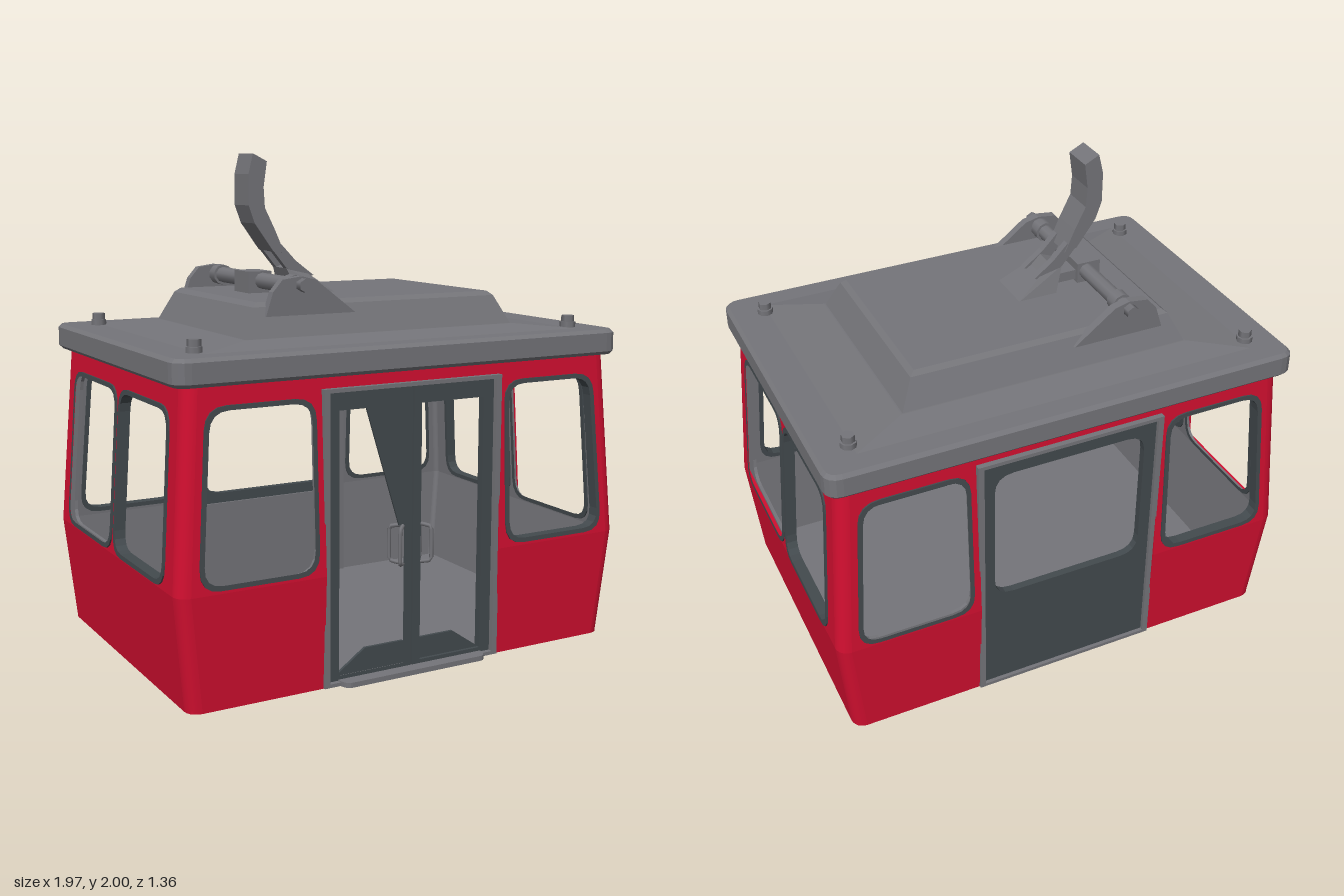
import * as THREE from 'three';

const mat = (name, color) => Object.assign(new THREE.MeshStandardMaterial({ color }), { name });

export function createModel() {
  const red = mat('red paint', 0xd20f30);
  const grey = mat('grey metal', 0x75757a);
  const slate = mat('dark slate', 0x434a4e);
  grey.side = THREE.DoubleSide;

  const model = new THREE.Group();
  model.name = 'cableCarCabin';
  const cabin = new THREE.Group();
  cabin.name = 'cabin';
  cabin.position.z = -0.008;
  model.add(cabin);

  const add = (parent, name, geo, material, x = 0, y = 0, z = 0) => {
    const m = new THREE.Mesh(geo, material);
    m.name = name;
    m.position.set(x, y, z);
    parent.add(m);
    return m;
  };
  const box = (w, h, d) => new THREE.BoxGeometry(w, h, d);
  const shapeOf = (pts) => new THREE.Shape(pts.map(([x, y]) => new THREE.Vector2(x, y)));
  const extrude = (shape, depth, z0 = 0) =>
    new THREE.ExtrudeGeometry(shape, { depth, bevelEnabled: false, curveSegments: 4 }).translate(0, 0, z0);

  // Four-cornered outline with rounded corners
  const rounded = (pts, r) => {
    const v = pts.map(([x, y]) => new THREE.Vector2(x, y));
    const s = new THREE.Shape();
    v.forEach((p, i) => {
      const a = v[(i + 3) % 4].clone().sub(p).setLength(r).add(p);
      const b = v[(i + 1) % 4].clone().sub(p).setLength(r).add(p);
      if (i) s.lineTo(a.x, a.y); else s.moveTo(a.x, a.y);
      s.quadraticCurveTo(p.x, p.y, b.x, b.y);
    });
    s.closePath();
    return s;
  };

  // Half sizes of the cabin at each height: walls bulge at the waist
  const Y0 = 0.02, WAIST = 0.46, Y1 = 1.205, R = 0.05;
  const profile = (a, b, c) => (y) => (y < WAIST
    ? THREE.MathUtils.mapLinear(y, Y0, WAIST, a, b)
    : THREE.MathUtils.mapLinear(y, WAIST, Y1, b, c));
  const halfX = profile(0.932, 0.977, 0.925);
  const halfZ = profile(0.643, 0.664, 0.63);

  // Push a flat piece out to the leaning wall, then turn it to its side
  const lean = (geo, half, turn) => {
    const p = geo.attributes.position;
    for (let i = 0; i < p.count; i++) p.setZ(i, p.getZ(i) + half(p.getY(i)));
    geo.computeVertexNormals();
    return geo.rotateY(turn);
  };
  const panel = (name, shape, half, turn) => {
    add(cabin, name, lean(extrude(shape, 0.018, -0.018), half, turn), red);
    add(cabin, name + 'Lining', lean(extrude(shape, 0.014, -0.032), half, turn), grey);
  };
  // Window outline between inner edge a and outer edges b (bottom) and t (top)
  const windowPts = (s, a, b, t, y0, y1, g) =>
    [[s * (a - g), y0 - g], [s * (b + g), y0 - g], [s * (t + g), y1 + g], [s * (a - g), y1 + g]];
  const bay = (name, s, inner, half, across, turn, win) => {
    const edge = (y) => across(y) - R;
    panel(name + 'LowerPanel', shapeOf([[s * inner, Y0], [s * edge(Y0), Y0], [s * edge(WAIST), WAIST], [s * inner, WAIST]]), half, turn);
    const upper = shapeOf([[s * inner, WAIST], [s * edge(WAIST), WAIST], [s * edge(Y1), Y1], [s * inner, Y1]]);
    upper.holes.push(rounded(windowPts(s, ...win, 0.014), 0.085));
    panel(name + 'UpperPanel', upper, half, turn);
    const trim = rounded(windowPts(s, ...win, 0.018), 0.085);
    trim.holes.push(rounded(windowPts(s, ...win, 0), 0.075));
    add(cabin, name + 'WindowTrim', lean(extrude(trim, 0.044, -0.038), half, turn), slate);
  };

  for (const s of [1, -1]) {
    for (const [side, turn] of [['front', 0], ['back', Math.PI]])
      bay(side, s, 0.388, halfZ, halfX, turn, [0.435, 0.88, 0.835, 0.49, 1.11]);
    for (const [side, turn] of [['left', Math.PI / 2], ['right', -Math.PI / 2]])
      bay(side, s, 0, halfX, halfZ, turn, [0.028, 0.52, 0.5, 0.485, 1.1]);
  }

  // Rounded corner posts
  [[1, 1], [1, -1], [-1, -1], [-1, 1]].forEach(([sx, sz], i) => {
    for (const [lo, hi] of [[Y0, WAIST], [WAIST, Y1]])
      for (const [name, r, m] of [['cornerPost', R, red], ['cornerPostLining', R - 0.03, grey]]) {
        const g = new THREE.CylinderGeometry(r, r, hi - lo, 5, 1, true, i * Math.PI / 2, Math.PI / 2);
        g.translate(0, (lo + hi) / 2, 0);
        const p = g.attributes.position;
        for (let k = 0; k < p.count; k++) {
          const y = p.getY(k);
          p.setX(k, p.getX(k) + sx * (halfX(y) - R));
          p.setZ(k, p.getZ(k) + sz * (halfZ(y) - R));
        }
        g.computeVertexNormals();
        add(cabin, name, g, m);
      }
  });

  // Floor and feet
  const rect = (w, d) => [[-w, -d], [w, -d], [w, d], [-w, d]];
  add(cabin, 'underside', extrude(rounded(rect(0.93, 0.642), R), 0.012).rotateX(-Math.PI / 2), red, 0, 0.02);
  add(cabin, 'floor', box(1.84, 0.012, 1.25), grey, 0, 0.038, 0);
  for (const x of [-0.86, 0.86]) for (const z of [-0.54, 0.54])
    add(cabin, 'foot', new THREE.CylinderGeometry(0.035, 0.035, 0.022, 8), grey, x, 0.011, z);

  // Door frames and headers, front and back
  for (const [side, turn] of [['front', 0], ['back', Math.PI]]) {
    panel(side + 'Header', shapeOf([[-0.388, 1.15], [0.388, 1.15], [0.388, Y1], [-0.388, Y1]]), halfZ, turn);
    const frame = shapeOf([[-0.392, 0.022], [0.392, 0.022], [0.392, 1.155], [-0.392, 1.155]]);
    frame.holes.push(shapeOf([[-0.368, 0.036], [0.368, 0.036], [0.368, 1.14], [-0.368, 1.14]]));
    add(cabin, side + 'DoorFrame', extrude(frame, 0.055, 0.6).rotateY(turn), grey);
  }

  // Front double door with handles
  for (const s of [1, -1]) {
    const leaf = shapeOf([[s * 0.003, 0.036], [s * 0.37, 0.036], [s * 0.37, 1.142], [s * 0.003, 1.142]]);
    leaf.holes.push(shapeOf([[s * 0.038, 0.055], [s * 0.32, 0.055], [s * 0.32, 1.07], [s * 0.038, 1.07]]));
    add(cabin, 'doorLeaf', extrude(leaf, 0.03, 0.605), slate);
    add(cabin, 'doorKickPlate', extrude(shapeOf([[s * 0.03, 0.05], [s * 0.33, 0.05], [s * 0.2, 0.14], [s * 0.03, 0.14]]), 0.012, 0.61), slate);
    for (const [z0, z1] of [[0.63, 0.66], [0.61, 0.58]]) {
      const path = new THREE.CatmullRomCurve3([[0.04, 0.45, z0], [0.07, 0.46, z1], [0.07, 0.59, z1], [0.04, 0.6, z0]]
        .map(([x, y, z]) => new THREE.Vector3(s * x, y, z)), false, 'catmullrom', 0.1);
      add(cabin, 'doorHandle', new THREE.TubeGeometry(path, 12, 0.008, 6), grey);
    }
  }
  add(cabin, 'doorBrace', extrude(shapeOf([[-0.2, 1.08], [-0.02, 1.08], [-0.02, 0.6], [-0.05, 0.6]]), 0.008, 0.612), slate);
  add(cabin, 'doorstep', extrude(rounded([[-0.33, 0.63], [0.33, 0.63], [0.31, 0.688], [-0.31, 0.688]], 0.02), 0.02)
    .rotateX(Math.PI / 2), grey, 0, 0.04);

  // Back middle panel with its wide window
  const back = shapeOf([[-0.37, 0.036], [0.37, 0.036], [0.37, 1.142], [-0.37, 1.142]]);
  back.holes.push(rounded([[-0.32, 0.49], [0.32, 0.49], [0.32, 1.08], [-0.32, 1.08]], 0.08));
  add(cabin, 'backPanel', extrude(back, 0.03, 0.61).rotateY(Math.PI), slate);
  add(cabin, 'backPanelLining', box(0.74, 0.41, 0.01), grey, 0, 0.24, -0.606);

  // Roof slab, sloped cap and raised platform
  const roof = new THREE.Group();
  roof.name = 'roof';
  roof.position.z = -0.014;
  model.add(roof);
  const frustum = (w0, d0, y0, w1, d1, y1) => {
    const g = box(1, y1 - y0, 1).translate(0, (y0 + y1) / 2, 0);
    const p = g.attributes.position, mid = (y0 + y1) / 2;
    for (let i = 0; i < p.count; i++) {
      const top = p.getY(i) > mid;
      p.setX(i, p.getX(i) * (top ? w1 : w0));
      p.setZ(i, p.getZ(i) * (top ? d1 : d0));
    }
    g.computeVertexNormals();
    return g;
  };
  const slab = new THREE.ExtrudeGeometry(rounded(rect(0.955, 0.65), 0.05),
    { depth: 0.075, bevelThickness: 0.014, bevelSize: 0.014, bevelSegments: 1, curveSegments: 4 });
  add(roof, 'roofSlab', slab.rotateX(-Math.PI / 2), grey, 0, 1.212);
  add(roof, 'roofSlope', frustum(1.87, 1.26, 1.29, 1.2, 0.87, 1.322), grey);
  add(roof, 'platform', frustum(1.2, 0.87, 1.31, 1.08, 0.765, 1.435), grey);
  add(roof, 'platformTop', frustum(1.08, 0.765, 1.435, 1.04, 0.73, 1.452), grey);
  for (const x of [-0.83, 0.83]) for (const z of [-0.505, 0.505]) {
    add(roof, 'roofBoltWasher', new THREE.CylinderGeometry(0.032, 0.032, 0.03, 8), grey, x, 1.308, z);
    add(roof, 'roofBolt', new THREE.CylinderGeometry(0.026, 0.026, 0.045, 6), grey, x, 1.327, z);
  }

  // Hinge plates and axle
  const plate = shapeOf([[-0.5, 1.4], [-0.47, 1.49], [-0.43, 1.535], [-0.35, 1.545], [-0.29, 1.53], [-0.12, 1.4]]);
  for (const s of [1, -1]) {
    add(roof, 'hingePlate', extrude(plate, 0.035, -0.0175), grey, 0, 0, s * 0.39);
    add(roof, 'axleNut', new THREE.CylinderGeometry(0.026, 0.026, 0.04, 6).rotateX(Math.PI / 2), grey, -0.35, 1.512, s * 0.42);
    add(roof, 'axleCollar', new THREE.CylinderGeometry(0.042, 0.042, 0.05, 10).rotateX(Math.PI / 2), grey, -0.35, 1.505, s * 0.33);
  }
  add(roof, 'axle', new THREE.CylinderGeometry(0.032, 0.032, 0.78, 10).rotateX(Math.PI / 2), grey, -0.35, 1.505, 0);
  add(roof, 'axleSleeve', box(0.1, 0.085, 0.13), grey, -0.36, 1.5, 0.004);
  add(roof, 'axleLink', box(0.18, 0.04, 0.1), grey, -0.24, 1.49, 0.004);

  // Curved hanger arm: solid upper part, forked neck, flared foot
  const arm = shapeOf([[-0.385, 2], [-0.405, 1.92], [-0.405, 1.8], [-0.38, 1.73], [-0.3, 1.62],
    [-0.25, 1.61], [-0.29, 1.7], [-0.335, 1.79], [-0.34, 1.87], [-0.325, 1.97]]);
  add(roof, 'hangerArm', extrude(arm, 0.13, -0.062), grey);
  const neck = shapeOf([[-0.31, 1.635], [-0.24, 1.55], [-0.17, 1.5], [-0.12, 1.52], [-0.2, 1.58], [-0.262, 1.645]]);
  for (const z of [-0.058, 0.036]) add(roof, 'armFork', extrude(neck, 0.03, z), grey);
  const foot = extrude(shapeOf([[-0.24, 1.55], [-0.2, 1.445], [-0.03, 1.445], [-0.15, 1.53], [-0.19, 1.57]]), 0.12, -0.056);
  const fp = foot.attributes.position;
  for (let i = 0; i < fp.count; i++) if (fp.getY(i) < 1.45) fp.setZ(i, fp.getZ(i) * 1.6);
  foot.computeVertexNormals();
  add(roof, 'armFoot', foot, grey);

  return model;
}
